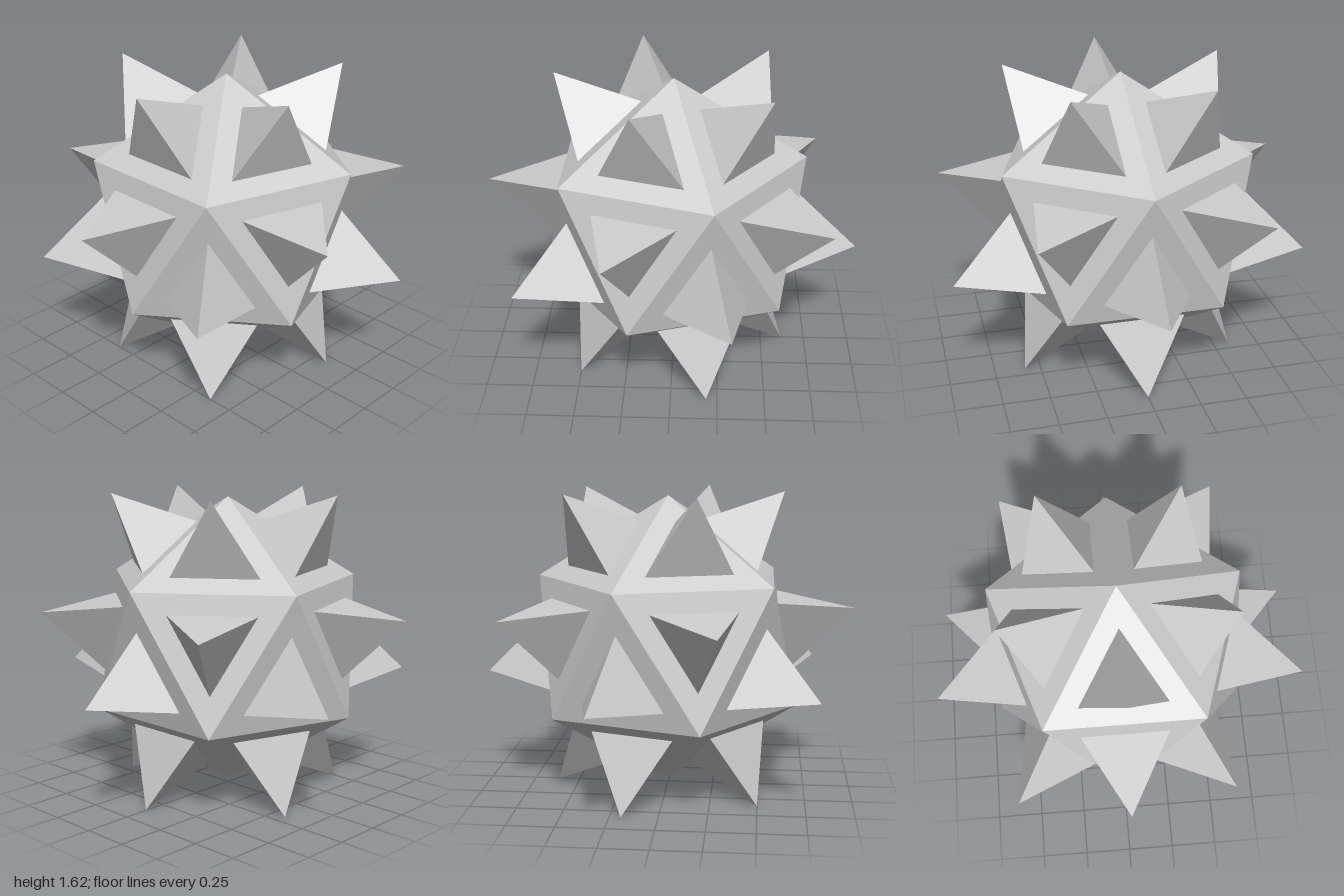
import * as THREE from 'three';

const R = 0.785;        // circumradius of the icosahedron core
const TIP = 1.018;      // distance of spike tips from the centre
const INSET = 0.553;    // spike base size relative to its face
const CENTRE_Y = 0.809;

// Flat-shaded mesh from triangles; winding is set to face away from `inside`
function facetMesh(name, triangles, inside, material) {
  const points = [];
  for (const [a, b, c] of triangles) {
    const normal = b.clone().sub(a).cross(c.clone().sub(a));
    const outward = normal.dot(a.clone().sub(inside)) > 0;
    points.push(...(outward ? [a, b, c] : [a, c, b]));
  }
  const geometry = new THREE.BufferGeometry().setFromPoints(points);
  geometry.computeVertexNormals();
  const mesh = new THREE.Mesh(geometry, material);
  mesh.name = name;
  return mesh;
}

export function createModel() {
  const group = new THREE.Group();
  group.name = 'spikedIcosahedron';
  const material = new THREE.MeshStandardMaterial({ color: 0xcccccc, flatShading: true });
  const origin = new THREE.Vector3();

  // Icosahedron corners: two poles and two staggered rings of five
  const top = new THREE.Vector3(0, R, 0);
  const bottom = new THREE.Vector3(0, -R, 0);
  const ring = (side, turn) => Array.from({ length: 5 }, (_, i) => {
    const a = (i + turn) * Math.PI * 2 / 5;
    const r = R * 2 / Math.sqrt(5);
    return new THREE.Vector3(r * Math.cos(a), side * R / Math.sqrt(5), r * Math.sin(a));
  });
  const upper = ring(1, 0);
  const lower = ring(-1, 0.5);

  const faces = [];
  for (let i = 0; i < 5; i++) {
    const j = (i + 1) % 5;
    faces.push(
      [top, upper[i], upper[j]],
      [upper[i], upper[j], lower[i]],
      [lower[i], lower[j], upper[j]],
      [bottom, lower[i], lower[j]],
    );
  }

  // Core body
  group.add(facetMesh('core', faces, origin, material));

  // One three-sided spike on each face
  const spikes = new THREE.Group();
  spikes.name = 'spikes';
  for (const face of faces) {
    const middle = new THREE.Vector3();
    face.forEach((p) => middle.addScaledVector(p, 1 / 3));
    const base = face.map((p) => middle.clone().lerp(p, INSET));
    const tip = middle.clone().setLength(TIP);
    const sides = base.map((p, k) => [p, base[(k + 1) % 3], tip]);
    spikes.add(facetMesh('spike', sides, middle, material));
  }
  group.add(spikes);

  group.position.y = CENTRE_Y;
  return group;
}
